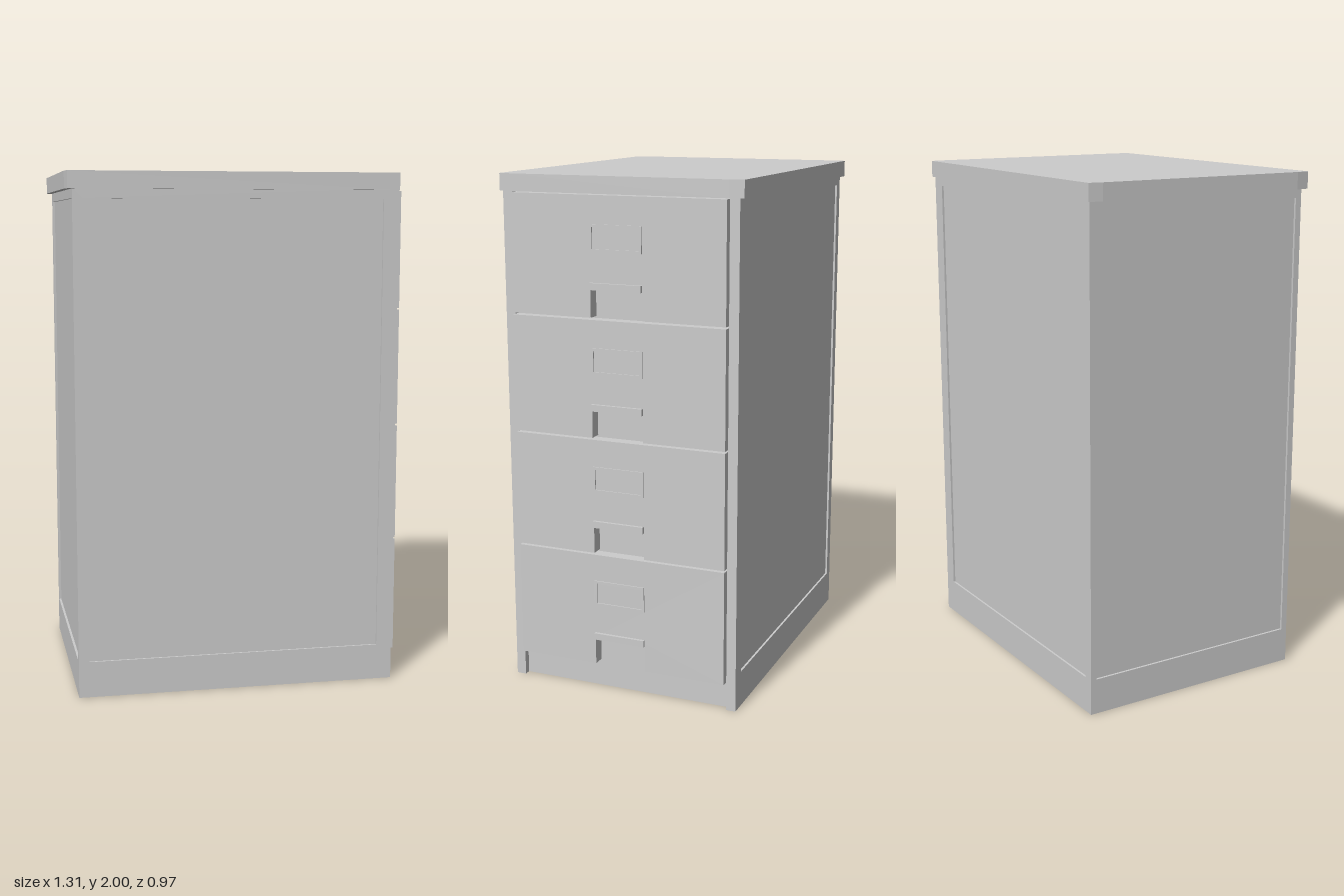
import * as THREE from 'three';

const material = new THREE.MeshStandardMaterial({ color: 0xcccccc, flatShading: true });

function add(parent, name, geometry) {
  const mesh = new THREE.Mesh(geometry, material);
  mesh.name = name;
  parent.add(mesh);
  return mesh;
}

// Box given by its minimum and maximum corners
function boxBetween(x0, x1, y0, y1, z0, z1) {
  return new THREE.BoxGeometry(x1 - x0, y1 - y0, z1 - z0)
    .translate((x0 + x1) / 2, (y0 + y1) / 2, (z0 + z1) / 2);
}

function polygon(points) {
  return points.map(([x, y]) => new THREE.Vector2(x, y));
}

function rectangle(u0, u1, v0, v1) {
  return polygon([[u0, v0], [u1, v0], [u1, v1], [u0, v1]]);
}

function extrude(outline, depth, hole) {
  const shape = new THREE.Shape(outline);
  if (hole) shape.holes.push(new THREE.Path(hole));
  return new THREE.ExtrudeGeometry(shape, { depth, bevelEnabled: false });
}

// Outline drawn in (z, y), extruded along x from x0 to x1
function extrudeAlongX(outline, x0, x1, hole) {
  return extrude(outline, x1 - x0, hole).rotateY(Math.PI / 2).translate(x0, 0, 0);
}

export function createModel() {
  const model = new THREE.Group();
  model.name = 'filingCabinet';

  // Carcass, with raised rims around the recessed side and back panels
  const bodyTop = 1.94;
  add(model, 'carcass', boxBetween(-0.621, 0.595, 0, bodyTop, -0.462, 0.462));
  for (const side of [1, -1]) {
    const rim = extrude(rectangle(-0.63, 0.621, 0, bodyTop), 0.008,
      rectangle(-0.59, 0.56, 0.14, 1.9));
    rim.translate(0, 0, side > 0 ? 0.462 : -0.47);
    add(model, side > 0 ? 'leftSideRim' : 'rightSideRim', rim);
    const z = [0.432 * side, 0.462 * side].sort((a, b) => a - b);
    add(model, side > 0 ? 'leftFrontPost' : 'rightFrontPost',
      boxBetween(0.595, 0.621, 0, bodyTop, z[0], z[1]));
  }
  add(model, 'backRim', extrudeAlongX(rectangle(-0.462, 0.462, 0, bodyTop), -0.63, -0.621,
    rectangle(-0.445, 0.445, 0.14, 1.9)));

  // Top slab with slightly tapered corners
  const slab = extrude(polygon([
    [-0.648, -0.485], [0.619, -0.485], [0.626, -0.43], [0.626, 0.43],
    [0.619, 0.485], [-0.648, 0.485], [-0.655, 0.43], [-0.655, -0.43],
  ]), 0.065).rotateX(-Math.PI / 2).translate(0, 1.935, 0);
  add(model, 'topSlab', slab);

  // Four drawers: notched front, label frame and pull lip
  const pitch = 0.4575;
  const pull = 0.104;
  for (let i = 0; i < 4; i++) {
    const drawer = new THREE.Group();
    drawer.name = `drawer${i + 1}`;
    drawer.position.y = 0.11 + i * pitch;
    model.add(drawer);

    add(drawer, 'drawerFront', extrudeAlongX(polygon([
      [-0.429, 0], [-pull, 0], [-pull, 0.115], [pull, 0.115],
      [pull, 0], [0.429, 0], [0.429, 0.45], [-0.429, 0.45],
    ]), 0.595, 0.643));
    add(drawer, 'labelFrame', extrudeAlongX(rectangle(-pull, pull, 0.245, 0.345), 0.642, 0.648,
      rectangle(-pull + 0.01, pull - 0.01, 0.255, 0.335)));
    add(drawer, 'pullLip', boxBetween(0.63, 0.655, 0.105, 0.131, -pull, pull));
  }

  return model;
}
